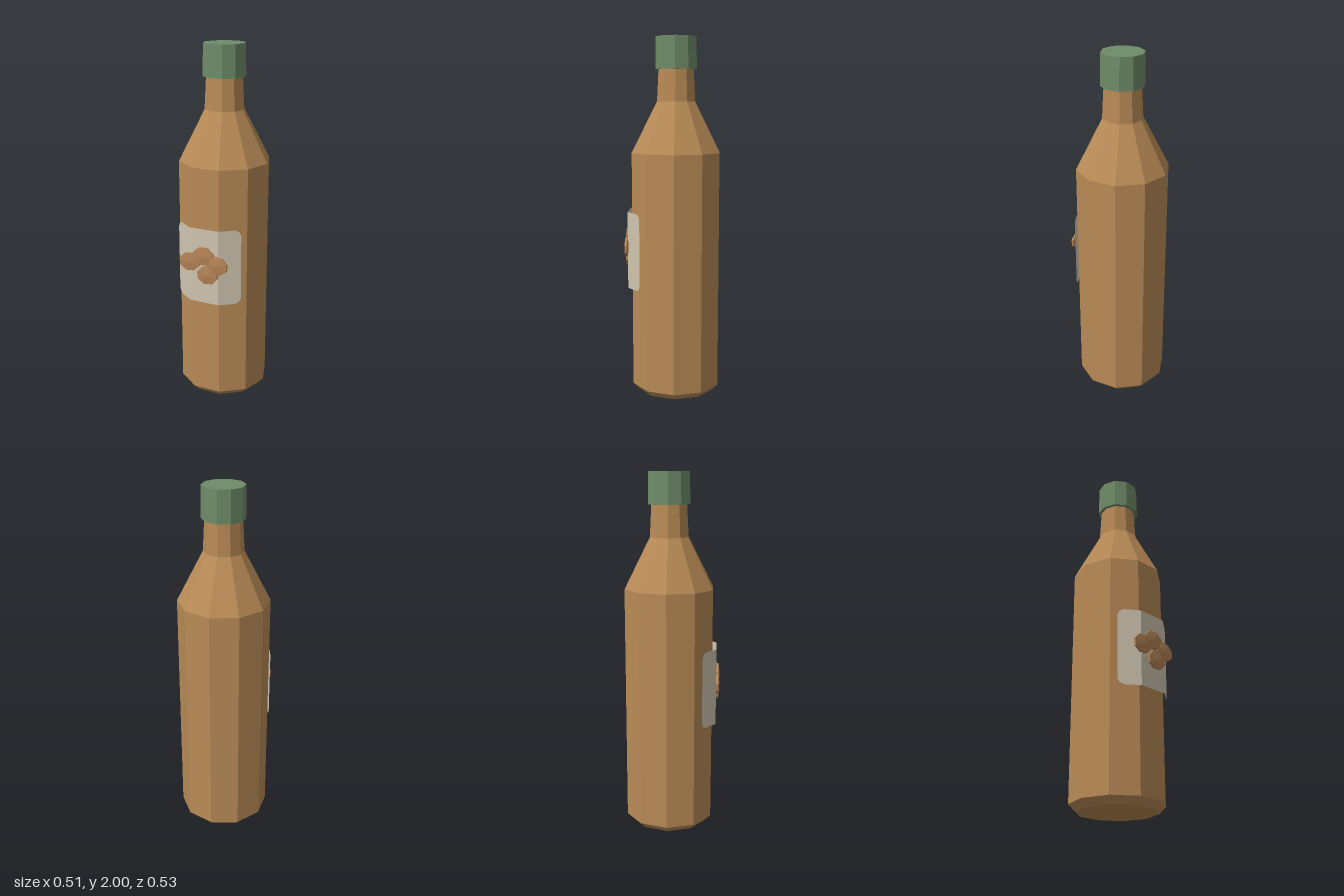
import * as THREE from 'three';

const AXIS_Z = -0.024; // the bottle sits slightly behind the origin
const SIDES = 10;

function material(name, color, extra = {}) {
  const m = new THREE.MeshStandardMaterial({ color, flatShading: true, ...extra });
  m.name = name;
  return m;
}

function lathe(profile, sides, start) {
  return new THREE.LatheGeometry(profile.map(([r, y]) => new THREE.Vector2(r, y)), sides, start);
}

// Thin sheet folded around the bottle, with cut corners
function labelGeometry() {
  const front = 0.243, fold = 0.087, slope = Math.tan(Math.PI / 5);
  const columns = [[-0.19, 0.185], [-0.182, 0.205], [-0.165, 0.217], [-fold, 0.217],
    [fold, 0.217], [0.165, 0.217], [0.182, 0.205], [0.19, 0.185]];
  const position = [], index = [];
  columns.forEach(([x, half], i) => {
    const z = front - Math.max(0, Math.abs(x) - fold) * slope;
    position.push(x, 0.822 - half, z, x, 0.822 + half, z);
    if (i) {
      const a = 2 * (i - 1);
      index.push(a, a + 2, a + 3, a, a + 3, a + 1);
    }
  });
  const g = new THREE.BufferGeometry();
  g.setAttribute('position', new THREE.Float32BufferAttribute(position, 3));
  g.setIndex(index);
  g.computeVertexNormals();
  return g;
}

export function createModel() {
  const group = new THREE.Group();
  const brown = material('bottle brown', 0xb98b56);
  const green = material('cap green', 0x6f8c69);
  const cream = material('label cream', 0xd0c5b0, { side: THREE.DoubleSide });
  const nut = material('nut brown', 0xb58455);

  const add = (name, geometry, mat, x = 0, y = 0, z = 0) => {
    const mesh = new THREE.Mesh(geometry, mat);
    mesh.name = name;
    mesh.position.set(x, y, z);
    group.add(mesh);
    return mesh;
  };

  // Bottle from base to neck
  add('bottle', lathe([[0, 0], [0.22, 0], [0.255, 0.037], [0.255, 1.368],
    [0.11, 1.65], [0.1, 1.84], [0, 1.84]], SIDES, Math.PI / 2), brown, 0, 0, AXIS_Z);

  // Screw cap
  add('cap', new THREE.CylinderGeometry(0.116, 0.119, 0.175, SIDES, 1, false, Math.PI / 2),
    green, 0, 1.9125, AXIS_Z);

  add('label', labelGeometry(), cream);

  // Cluster of flattened nuts in front of the label
  const nutGeometry = lathe([[0, -0.0125], [1, -0.0065], [1, 0.0065], [0, 0.0125]], 8, Math.PI / 8);
  nutGeometry.rotateX(Math.PI / 2);
  nutGeometry.scale(0.064, 0.054, 1);
  [[-0.083, 0.842, 0.1], [0, 0.885, 0], [0.083, 0.842, -0.1], [0.025, 0.778, 0.12]]
    .forEach(([x, y, turn], i) => {
      add(`nut${i + 1}`, nutGeometry, nut, x, y, 0.2495).rotation.z = turn;
    });

  return group;
}
